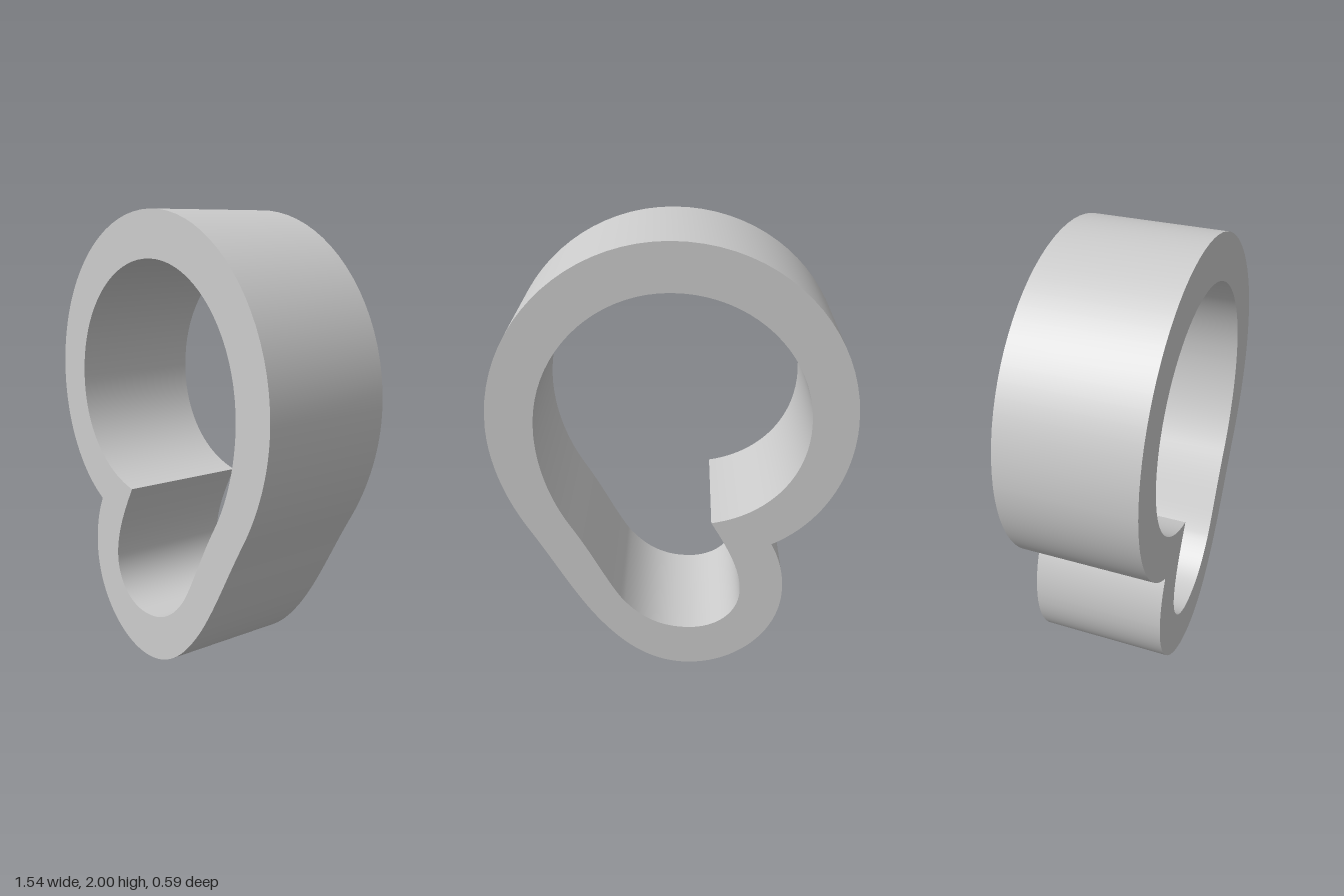
import * as THREE from 'three';
import { toCreasedNormals } from 'three/addons/utils/BufferGeometryUtils.js';

const DEPTH = 0.59;

// Traces a closed outline of cubic curves: [control1, control2, end] per row
function trace(path, start, curves) {
  path.moveTo(...start);
  for (const c of curves) path.bezierCurveTo(...c);
  return path;
}

export function createModel() {
  const group = new THREE.Group();
  group.name = 'loopRing';

  // Outer outline: from the notch, round the small lobe, up the right flank, over the large lobe
  const outline = trace(new THREE.Shape(), [-0.44, 0.665], [
    [-0.48, 0.59, -0.5, 0.51, -0.5, 0.42],
    [-0.5, 0.18, -0.3, 0, -0.08, 0],
    [0.08, 0, 0.2, 0.09, 0.3, 0.21],
    [0.42, 0.35, 0.51, 0.55, 0.62, 0.73],
    [0.71, 0.88, 0.768, 1.05, 0.768, 1.22],
    [0.768, 1.65, 0.42, 2, 0, 2],
    [-0.43, 2, -0.77, 1.66, -0.77, 1.24],
    [-0.77, 1.0, -0.65, 0.77, -0.44, 0.665],
  ]);

  // Opening, following the same route
  outline.holes.push(trace(new THREE.Path(), [-0.175, 0.77], [
    [-0.24, 0.66, -0.31, 0.53, -0.31, 0.42],
    [-0.31, 0.29, -0.21, 0.205, -0.08, 0.205],
    [0.05, 0.205, 0.14, 0.26, 0.22, 0.36],
    [0.29, 0.46, 0.34, 0.59, 0.44, 0.75],
    [0.52, 0.88, 0.57, 1.04, 0.57, 1.2],
    [0.57, 1.54, 0.31, 1.8, 0, 1.8],
    [-0.32, 1.8, -0.58, 1.55, -0.58, 1.24],
    [-0.58, 0.99, -0.41, 0.81, -0.175, 0.77],
  ]));

  // Extruded band with smooth walls and sharp rims
  const geometry = new THREE.ExtrudeGeometry(outline, {
    depth: DEPTH, bevelEnabled: false, curveSegments: 20,
  });
  geometry.translate(0, 0, -DEPTH / 2);

  const band = new THREE.Mesh(
    toCreasedNormals(geometry, Math.PI / 6),
    new THREE.MeshStandardMaterial({ color: 0xcccccc }),
  );
  band.name = 'band';
  group.add(band);
  return group;
}
